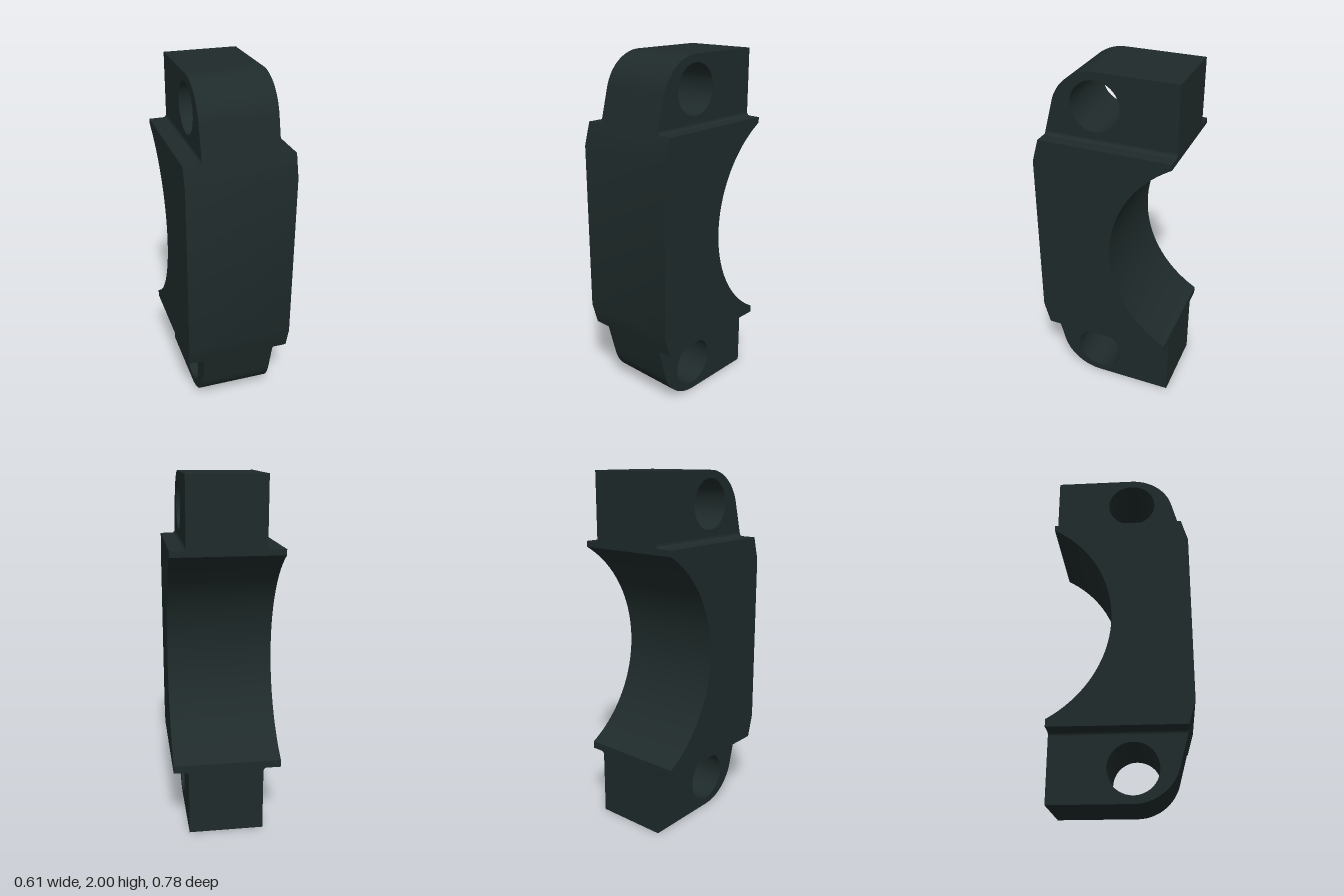
import * as THREE from 'three';
import { toCreasedNormals } from 'three/addons/utils/BufferGeometryUtils.js';

const HALF = 0.305, X0 = -0.205, X1 = 0.22; // body half width, lug sides
const BACK = -0.39, FRONT = 0.39, SPLIT = 1.62, SPLIT_Z = 0.353;

// Points on a circular arc
function arc(cx, cy, r, a0, a1, n) {
  return Array.from({ length: n + 1 }, (_, i) => {
    const a = a0 + (a1 - a0) * i / n;
    return [cx + r * Math.cos(a), cy + r * Math.sin(a)];
  });
}

const toShape = pts => new THREE.Shape(pts.map(p => new THREE.Vector2(p[0], p[1])));

// Extrude a side profile (z, y) across the width from xa to xb
function acrossWidth(shape, xa, xb) {
  const g = new THREE.ExtrudeGeometry(shape, { depth: xb - xa, bevelEnabled: false, curveSegments: 32 });
  g.rotateY(-Math.PI / 2);
  g.translate(xb, 0, 0);
  return toCreasedNormals(g, 0.5);
}

export function createModel() {
  const group = new THREE.Group();
  const darkMetal = new THREE.MeshStandardMaterial({ color: 0x1f2a2a });
  darkMetal.name = 'dark metal';
  const add = (name, geometry) => {
    const mesh = new THREE.Mesh(geometry, darkMetal);
    mesh.name = name;
    group.add(mesh);
  };

  // Wide saddle body with the half-round bore at the back
  const bore = Math.asin(0.583 / 0.67);
  add('saddleBody', acrossWidth(toShape([
    [BACK, 2 - SPLIT], [SPLIT_Z, 2 - SPLIT], [FRONT, 0.51],
    [FRONT, 1.49], [SPLIT_Z, SPLIT], [BACK, SPLIT],
    ...arc(-0.72, 1.005, 0.67, bore, -bore, 48).map(([z, y]) => [Math.max(z, BACK), y]),
  ]), -HALF, HALF));

  // Bolt lugs, mirrored above and below
  for (const s of [1, -1]) {
    const end = s > 0 ? 'upper' : 'lower';
    const flip = y => 1 + s * (y - 1);
    const lug = toShape([
      [BACK, SPLIT], [SPLIT_Z, SPLIT],
      ...arc(0.06, 1.75, 0.25, 0.27, Math.PI / 2, 20),
      [BACK, 2],
    ].map(([z, y]) => [z, flip(y)]));
    // Bolt hole, wound opposite to the outline
    lug.holes.push(new THREE.Path().absarc(0.06, flip(1.818), 0.139, 0, Math.PI * 2, s > 0));
    add(end + 'Lug', acrossWidth(lug, X0, X1));

    // Small concave fillets where the lug meets the body
    for (const [x, d] of [[X0, -1], [X1, 1]]) {
      const r = 0.02;
      const profile = toShape([[0, 0], ...arc(r, r, r, Math.PI * 1.5, Math.PI, 6)]
        .map(([u, v]) => [x + d * u, flip(SPLIT + v)]));
      const g = new THREE.ExtrudeGeometry(profile, { depth: 0.348 - BACK, bevelEnabled: false });
      g.translate(0, 0, BACK);
      add(end + (d > 0 ? 'Left' : 'Right') + 'Fillet', toCreasedNormals(g, 0.5));
    }
  }
  return group;
}
